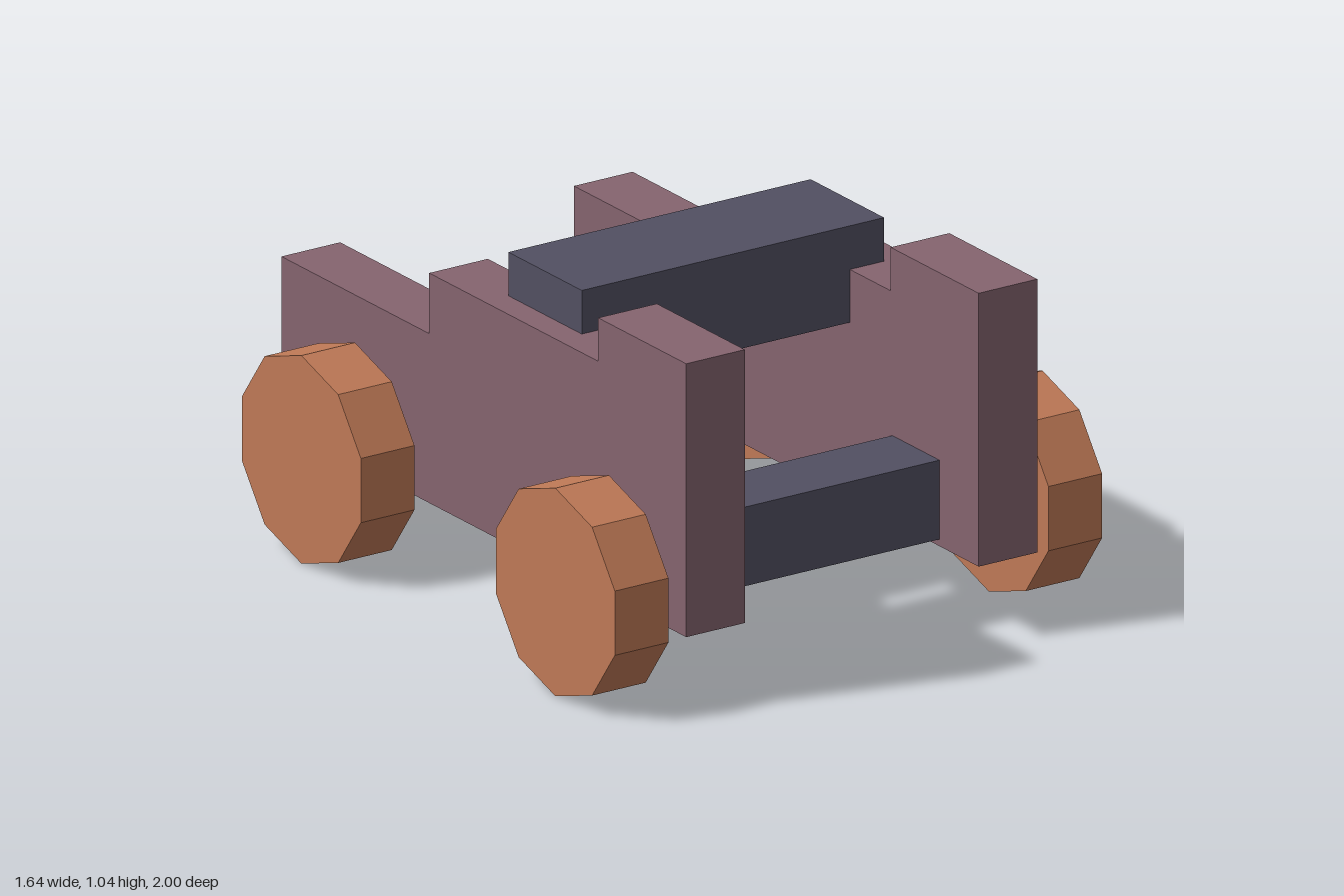
import * as THREE from 'three';

export function createModel() {
  const model = new THREE.Group();
  model.name = 'cart';

  const material = (name, color) => {
    const m = new THREE.MeshStandardMaterial({ color });
    m.name = name;
    return m;
  };
  const plum = material('plum', 0x85646f);
  const slate = material('slate', 0x525062);
  const copper = material('copper', 0xc07a57);

  const add = (name, geometry, mat, x, y, z) => {
    const mesh = new THREE.Mesh(geometry, mat);
    mesh.name = name;
    mesh.position.set(x, y, z);
    model.add(mesh);
  };

  // Stepped side panel: outline in (z, y), extruded across x
  const outline = [
    [-1, 0.225], [1, 0.225], [1, 1.037], [0.565, 1.037],
    [0.565, 0.908], [-0.27, 0.908], [-0.27, 0.728], [-1, 0.728],
  ].map(([z, y]) => new THREE.Vector2(z, y));
  const thickness = 0.197;
  const panel = new THREE.ExtrudeGeometry(new THREE.Shape(outline), { depth: thickness, bevelEnabled: false });
  panel.translate(0, 0, -thickness / 2);
  panel.rotateY(-Math.PI / 2);

  // Ten-sided wheel with a corner pointing straight down
  const wheel = new THREE.CylinderGeometry(0.309, 0.309, 0.18, 10).toNonIndexed();
  wheel.rotateZ(Math.PI / 2);
  wheel.rotateX(Math.PI / 2);
  wheel.computeVertexNormals();

  // Square axles with a wheel at each end
  const axle = new THREE.BoxGeometry(1.4, 0.235, 0.233);
  for (const [end, z] of [['front', 0.69], ['rear', -0.565]]) {
    add(end + 'Axle', axle, slate, 0, 0.363, z);
    add(end + 'LeftWheel', wheel, copper, 0.728, 0.31, z);
    add(end + 'RightWheel', wheel, copper, -0.728, 0.31, z);
  }

  add('leftSidePanel', panel, plum, 0.491, 0, 0);
  add('rightSidePanel', panel, plum, -0.491, 0, 0);

  // Seat beam let into both panels
  add('seatBeam', new THREE.BoxGeometry(1.015, 0.287, 0.363), slate, 0, 0.894, 0.182);

  return model;
}
